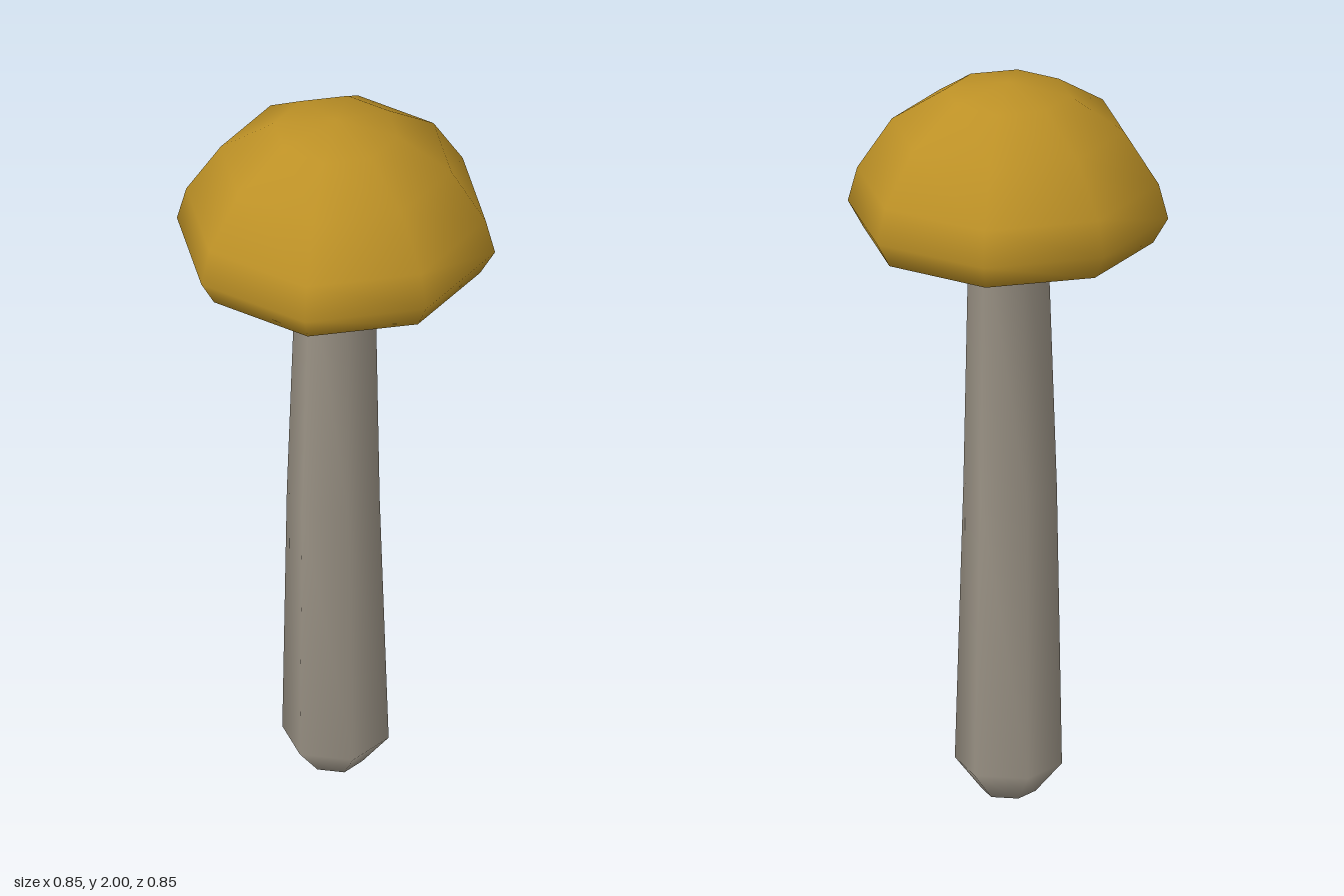
import * as THREE from 'three';
import { mergeVertices } from 'three/addons/utils/BufferGeometryUtils.js';

// Turned form with welded vertices and smooth normals; bend(y) shifts each ring along z
function turned(profile, sides, phiStart, bend = () => 0) {
  const points = profile.map(([r, y]) => new THREE.Vector2(r, y));
  let geo = new THREE.LatheGeometry(points, sides, phiStart);
  geo.deleteAttribute('uv');
  geo.deleteAttribute('normal');
  const pos = geo.attributes.position;
  for (let i = 0; i < pos.count; i++) pos.setZ(i, pos.getZ(i) + bend(pos.getY(i)));
  geo = mergeVertices(geo, 1e-4);
  geo.computeVertexNormals();
  return geo;
}

export function createModel() {
  const group = new THREE.Group();
  group.name = 'mushroom';

  const capMaterial = new THREE.MeshStandardMaterial({ color: 0xbd9126 });
  capMaterial.name = 'ochre cap';
  const stemMaterial = new THREE.MeshStandardMaterial({ color: 0x999184 });
  stemMaterial.name = 'grey stem';

  // Eight-sided domed cap with a shallow hollow underneath
  const cap = new THREE.Mesh(turned([
    [0, 1.62], [0.19, 1.615], [0.25, 1.57], [0.385, 1.57], [0.425, 1.64],
    [0.4, 1.735], [0.308, 1.878], [0.165, 1.97], [0, 2],
  ], 8, 0), capMaterial);
  cap.name = 'cap';

  // Six-sided tapering stem, bowed forward at mid height
  const bow = (y) => (y < 0.085 ? 0.007
    : y < 0.86 ? THREE.MathUtils.mapLinear(y, 0.085, 0.85, 0.007, 0.037)
      : THREE.MathUtils.mapLinear(y, 0.85, 1.57, 0.037, 0.005));
  const stem = new THREE.Mesh(turned([
    [0, 0], [0.072, 0.003], [0.142, 0.085], [0.124, 0.85], [0.104, 1.62],
  ], 6, Math.PI / 2, bow), stemMaterial);
  stem.name = 'stem';

  group.add(cap, stem);
  return group;
}
